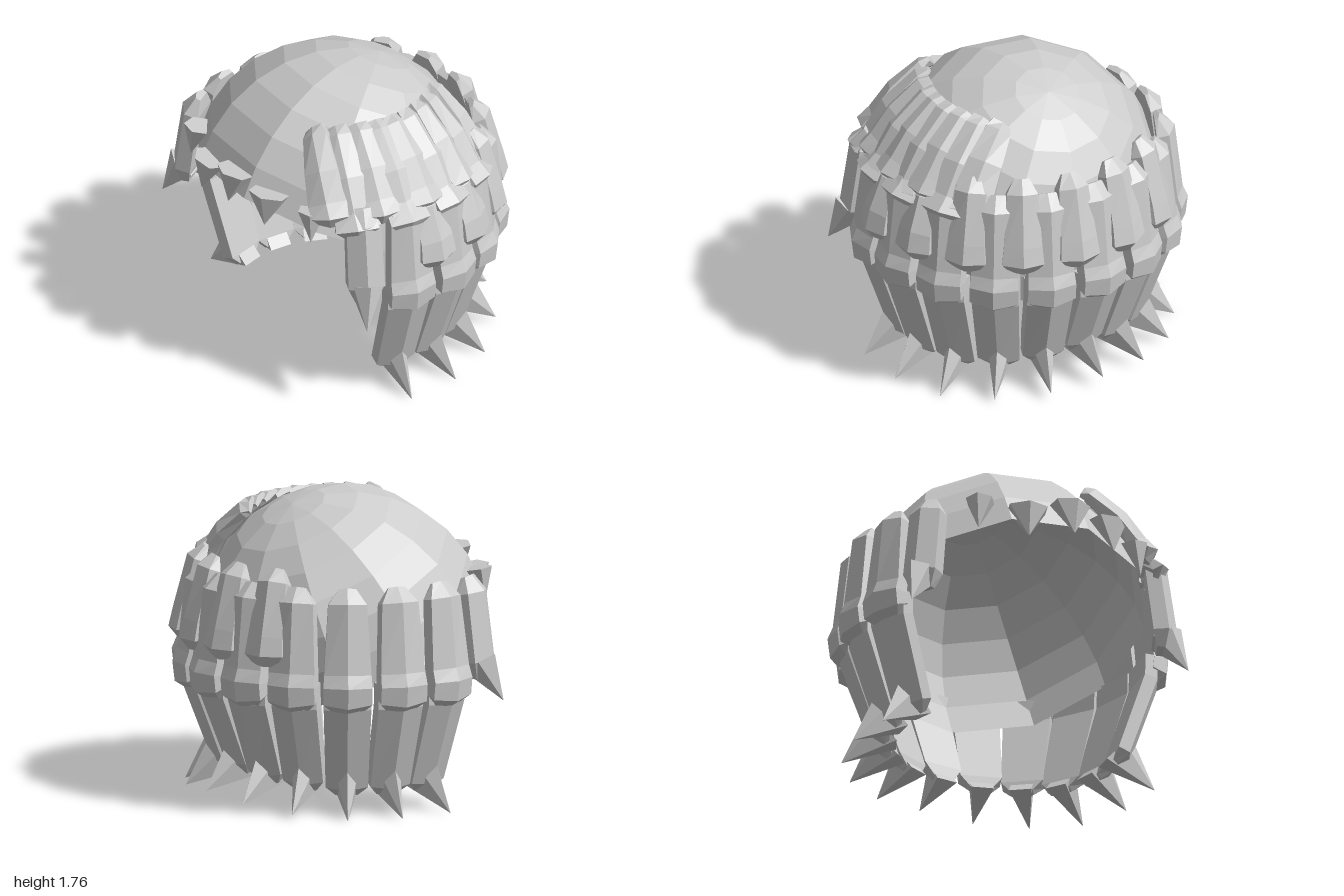
import * as THREE from 'three';

const DEG = Math.PI / 180;
const STEP = 20.25; // angle between neighbouring locks
const MID_Z = 0.065; // centre of the head
const hair = new THREE.MeshStandardMaterial({ color: 0xcccccc, flatShading: true });
hair.name = 'hairGrey';
const capHair = new THREE.MeshStandardMaterial({ color: 0xcccccc, flatShading: true, side: THREE.DoubleSide });
capHair.name = 'capGrey';

// Point on the ring of hair: angle is measured from the back towards +x
function ring(angle, r, y) {
  const a = angle * DEG;
  return new THREE.Vector3(r * Math.sin(a), y, MID_Z - 0.98 * r * Math.cos(a));
}

// Ridged five-sided cross-section, flat towards the head
const SECTION = [[0.5, -0.45], [0.5, 0.15], [0, 0.5], [-0.5, 0.15], [-0.5, -0.45]];

// Strand through rows of [point, width, thickness]
function strand(name, rows) {
  const n = SECTION.length, pos = [], index = [];
  rows.forEach(([p, w, t], i) => {
    const T = rows[Math.min(i + 1, rows.length - 1)][0].clone().sub(rows[Math.max(i - 1, 0)][0]).normalize();
    const O = new THREE.Vector3(p.x, 0, p.z - MID_Z);
    O.addScaledVector(T, -O.dot(T)).normalize();
    const S = O.clone().cross(T);
    for (const [u, v] of SECTION) {
      const q = p.clone().addScaledVector(S, u * w).addScaledVector(O, v * t);
      pos.push(q.x, q.y, q.z);
    }
  });
  const last = (rows.length - 1) * n;
  for (let i = 0; i < rows.length - 1; i++) {
    for (let k = 0; k < n; k++) {
      const a = i * n + k, b = i * n + (k + 1) % n;
      index.push(a, b, b + n, a, b + n, a + n);
    }
  }
  for (let k = 1; k < n - 1; k++) index.push(0, k + 1, k, last, last + k, last + k + 1);
  let geo = new THREE.BufferGeometry();
  geo.setAttribute('position', new THREE.Float32BufferAttribute(pos, 3));
  geo.setIndex(index);
  geo = geo.toNonIndexed();
  geo.computeVertexNormals();
  const mesh = new THREE.Mesh(geo, hair);
  mesh.name = name;
  return mesh;
}

export function createModel() {
  const model = new THREE.Group();
  model.name = 'wig';

  // Half-sphere cap, tipped back so the front hairline sits high
  const cap = new THREE.Mesh(
    new THREE.SphereGeometry(0.85, 11, 7, 0, Math.PI * 2, 0, 93 * DEG)
      .rotateY(98 * DEG).rotateX(-24 * DEG).scale(1, 1, 0.97), capHair);
  cap.position.set(-0.01, 0.91, 0.06);
  cap.name = 'cap';
  model.add(cap);

  // Lower and middle tiers run round the back from ear to ear
  for (let i = -5; i <= 5; i++) {
    const a = i * STEP;
    const drop = 0.08 * Math.min(1, Math.abs(i) / 3); // the sides hang lower than the back
    model.add(strand('lowerLock', [
      [ring(a, 0.87, 0.78), 0.27, 0.12],
      [ring(a, 0.87, 0.64), 0.27, 0.13],
      [ring(a, 0.71, 0.24 - drop), 0.24, 0.12],
      [ring(a, 0.67, 0.17 - drop * 0.8), 0.13, 0.06],
    ]));
    model.add(strand('lowerTip', [
      [ring(a, 0.69, 0.25 - drop * 0.5), 0.13, 0.27],
      [ring(a, 0.92, 0.08 - drop), 0.003, 0.003],
    ]));
    model.add(strand('middleLock', [
      [ring(a, 0.82, 1.32), 0.1, 0.04],
      [ring(a, 0.865, 1.24), 0.22, 0.12],
      [ring(a, 0.91, 0.84), 0.27, 0.12],
      [ring(a, 0.93, 0.77), 0.28, 0.14],
      [ring(a, 0.92, 0.68), 0.28, 0.14],
      [ring(a, 0.87, 0.61), 0.14, 0.05],
    ]));
  }

  // Upper tier covers the back and the left side only
  for (let i = -2; i < 5; i++) {
    const a = (i + 0.5) * STEP;
    const top = a > 65 ? 1.3 : 1.41;
    model.add(strand('upperLock', [
      [ring(a, 0.79, top), 0.09, 0.04],
      [ring(a, 0.84, top - 0.07), 0.18, 0.12],
      [ring(a, 0.92, 1.04), 0.22, 0.12],
      [ring(a, 0.94, 0.94), 0.24, 0.13],
      [ring(a, 0.92, 0.88), 0.15, 0.06],
    ]));
  }

  // Swept-over locks fan from the parting down the left side
  const centre = new THREE.Vector3(0, 0.91, 0.05);
  const onCap = (p, r) => p.clone().sub(centre).setLength(r).add(centre);
  for (let i = 0; i < 9; i++) {
    const t = i / 8, a = (2.5 + i / 2) * STEP, long = i % 2;
    const start = onCap(new THREE.Vector3(0.47 - 0.6 * (t - 0.45) ** 2, 1.62, -0.33 + 0.78 * t), 0.885);
    const end = long ? ring(a, 0.9, 1.21) : ring(a, 0.85, 1.27);
    const along = (f) => onCap(start.clone().lerp(end, f), 0.895);
    model.add(strand('sweptLock', [
      [start, 0.12, 0.04],
      [along(0.1), 0.15, 0.08],
      [along(0.5), 0.2, 0.1],
      [along(0.85), 0.23, 0.11],
      [end, long ? 0.25 : 0.21, 0.11],
      [ring(a, long ? 0.88 : 0.83, end.y - 0.06), 0.13, 0.05],
    ]));
  }

  // Sideburn locks in front of each ear
  for (const s of [-1, 1]) {
    const p = (x, y, z) => new THREE.Vector3(s * x, y, z);
    model.add(strand('sideburn', [
      [p(0.73, 1.32, 0.46), 0.1, 0.05],
      [p(0.76, 1.23, 0.48), 0.2, 0.14],
      [p(0.81, 0.84, 0.5), 0.21, 0.15],
      [p(0.8, 0.74, 0.5), 0.12, 0.08],
    ]));
    model.add(strand('sideburnTip', [
      [p(0.82, 0.84, 0.5), 0.17, 0.2],
      [p(0.92, 0.62, 0.58), 0.003, 0.003],
    ]));
  }

  // Short pointed fringe along the front hairline
  for (let i = -2; i <= 2; i++) {
    const a = 180 - i * STEP;
    const r = 0.77 + 0.015 * Math.abs(i);
    const lift = i === 0 ? 0.03 : i === -1 || i === 2 ? -0.04 : 0;
    model.add(strand('fringeTip', [
      [ring(a, r, 1.31 + lift), Math.abs(i) === 2 ? 0.15 : 0.22, 0.14],
      [ring(a, r + 0.03, 1.12 + lift), 0.003, 0.003],
    ]));
  }
  return model;
}
